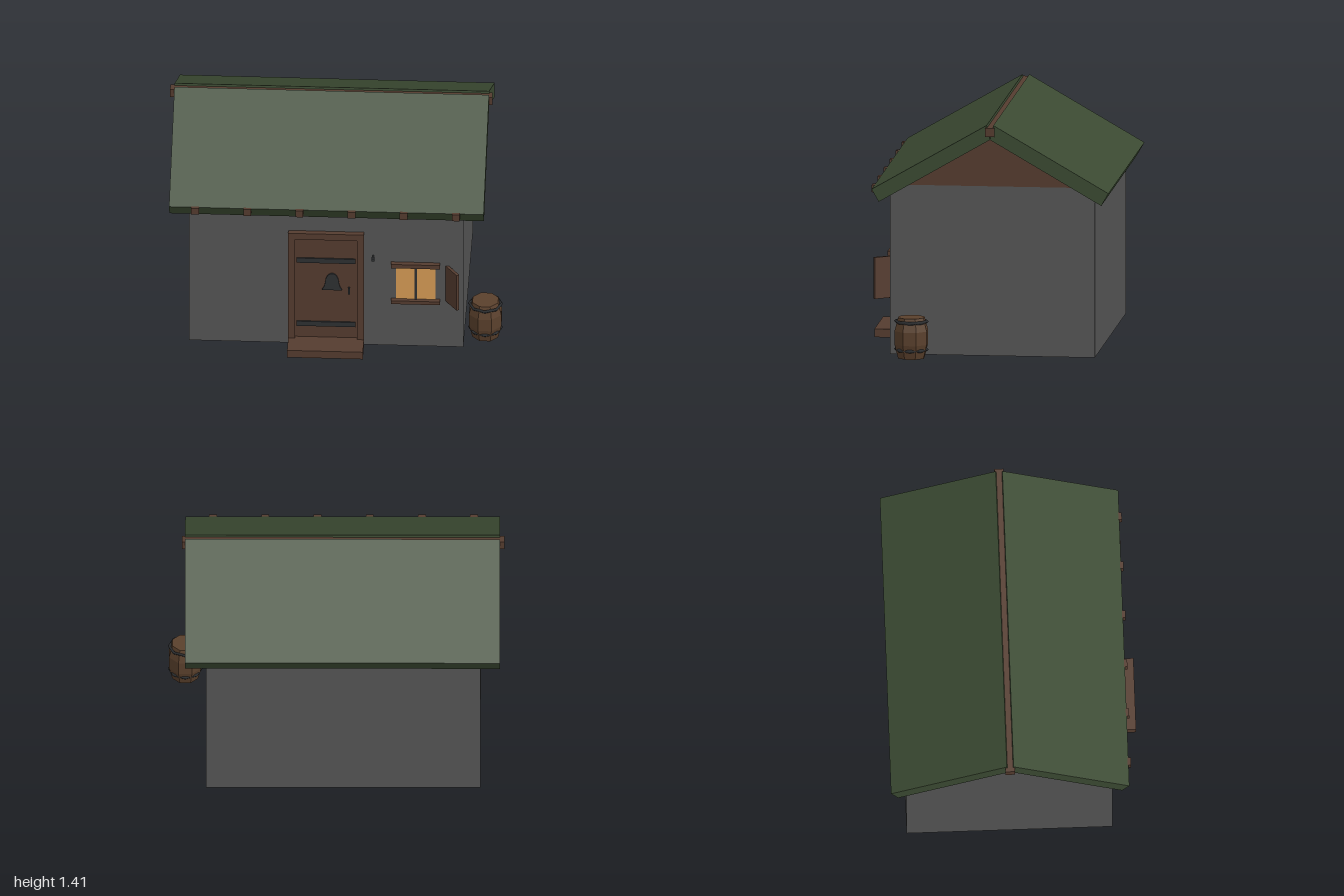
import * as THREE from 'three';

const mat = (name, color) => {
  const m = new THREE.MeshStandardMaterial({ color });
  m.name = name;
  return m;
};

export function createModel() {
  const group = new THREE.Group();
  const stone = mat('stone grey', 0x555555);
  const wood = mat('dark wood', 0x553c2f);
  const barrelWood = mat('barrel wood', 0x5a402c);
  const roofGreen = mat('roof green', 0x3b4a32);
  const iron = mat('iron', 0x2e3032);
  const glow = mat('lit window', 0xd69b55);

  const add = (name, geo, material) => {
    const mesh = new THREE.Mesh(geo, material);
    mesh.name = name;
    group.add(mesh);
    return mesh;
  };
  // Box given by its limits on each axis
  const box = (name, material, x0, x1, y0, y1, z0, z1) => {
    const mesh = add(name, new THREE.BoxGeometry(x1 - x0, y1 - y0, z1 - z0), material);
    mesh.position.set((x0 + x1) / 2, (y0 + y1) / 2, (z0 + z1) / 2);
    return mesh;
  };
  // Side profile of [z, y] points, extruded along x
  const prism = (name, material, pts, x0, x1) => {
    const shape = new THREE.Shape(pts.map(([z, y]) => new THREE.Vector2(-z, y)));
    const geo = new THREE.ExtrudeGeometry(shape, { depth: x1 - x0, bevelEnabled: false });
    geo.rotateY(Math.PI / 2).translate(x0, 0, 0);
    return add(name, geo, material);
  };
  const rect = (x0, x1, z0, z1) =>
    [[x0, -z1], [x1, -z1], [x1, -z0], [x0, -z0]].map(p => new THREE.Vector2(...p));

  // Hollow walls and wooden floor
  const plan = new THREE.Shape(rect(-0.86, 0.77, -0.645, 0.58));
  plan.holes.push(new THREE.Path(rect(-0.76, 0.67, -0.545, 0.48)));
  const wallGeo = new THREE.ExtrudeGeometry(plan, { depth: 1.02, bevelEnabled: false });
  add('walls', wallGeo.rotateX(-Math.PI / 2), stone);
  box('floor', wood, -0.76, 0.67, 0.002, 0.04, -0.545, 0.48);

  // Gables and roof slopes, mirrored about the ridge at z = -0.033
  const ridgeZ = -0.033;
  prism('gable', wood, [[0.49, 1.02], [ridgeZ, 1.32], [-0.556, 1.02]], -0.86, 0.77);
  const slope = [[0.632, 0.935], [0.675, 1.01], [-0.013, 1.407], [ridgeZ, 1.32]];
  prism('frontRoof', roofGreen, slope, -0.975, 0.895);
  prism('backRoof', roofGreen, slope.map(([z, y]) => [2 * ridgeZ - z, y]), -0.975, 0.895);
  box('ridgeBeam', wood, -1.0, 0.915, 1.34, 1.393, -0.061, -0.005);

  // Rafter ends under the front eave
  for (let i = 0; i < 6; i++) {
    const x = -0.82 + i * 0.31;
    box('rafterEnd', wood, x - 0.023, x + 0.023, 0.968, 1.013, 0.62, 0.69);
  }

  // Door with frame, step and ironwork
  box('door', wood, -0.23, 0.14, 0.04, 0.742, 0.56, 0.586);
  box('doorLintel', wood, -0.27, 0.18, 0.757, 0.8, 0.56, 0.612);
  for (const x of [-0.27, 0.14]) box('doorPost', wood, x, x + 0.04, 0, 0.757, 0.56, 0.606);
  box('doorStep', wood, -0.27, 0.18, 0, 0.05, 0.57, 0.74);
  for (const y of [0.13, 0.58]) box('doorStrap', iron, -0.22, 0.13, y, y + 0.033, 0.58, 0.594);
  box('doorHandle', iron, 0.085, 0.098, 0.365, 0.412, 0.58, 0.6);

  // Flat bell-shaped plate on the door
  const half = [[0.06, 0.39], [0.045, 0.42], [0.037, 0.47], [0.024, 0.497], [0.008, 0.506]];
  const bell = [...half, ...half.map(([x, y]) => [-x, y]).reverse()];
  const bellShape = new THREE.Shape(bell.map(([x, y]) => new THREE.Vector2(x - 0.01, y)));
  const bellGeo = new THREE.ExtrudeGeometry(bellShape, { depth: 0.009, bevelEnabled: false });
  add('bellPlate', bellGeo.translate(0, 0, 0.585), iron);

  // Wall hook
  box('wallHook', iron, 0.23, 0.24, 0.63, 0.64, 0.57, 0.63);
  box('hookTip', iron, 0.226, 0.244, 0.627, 0.645, 0.61, 0.63);

  // Window with two panes, lintel, sill and an open shutter
  for (const x of [0.37, 0.492]) box('windowPane', glow, x, x + 0.113, 0.33, 0.57, 0.575, 0.584);
  box('mullion', iron, 0.48, 0.495, 0.33, 0.57, 0.57, 0.59);
  box('windowLintel', wood, 0.34, 0.632, 0.568, 0.595, 0.57, 0.61);
  box('windowSill', wood, 0.34, 0.632, 0.313, 0.336, 0.57, 0.61);
  const shutter = box('shutter', wood, 0, 0.122, 0.325, 0.575, -0.009, 0.009);
  shutter.rotation.y = -Math.atan2(0.1, 0.07);
  shutter.position.set(0.707, 0.45, 0.627);

  // Eight-sided barrel with two iron hoops
  const barrel = new THREE.Group();
  barrel.name = 'barrel';
  barrel.position.set(0.895, 0, 0.437);
  const profile = [[0, 0], [0.082, 0], [0.104, 0.085], [0.104, 0.165], [0.082, 0.245], [0, 0.245]];
  const staves = new THREE.LatheGeometry(profile.map(p => new THREE.Vector2(...p)), 8, Math.PI / 8)
    .toNonIndexed();
  staves.computeVertexNormals();
  const body = new THREE.Mesh(staves, barrelWood);
  body.name = 'barrelBody';
  barrel.add(body);
  for (const y of [0.052, 0.22]) {
    const hoop = new THREE.Mesh(new THREE.TorusGeometry(0.094, 0.01, 4, 8), iron);
    hoop.name = 'barrelHoop';
    hoop.rotation.x = Math.PI / 2;
    hoop.position.y = y;
    barrel.add(hoop);
  }
  group.add(barrel);

  return group;
}
